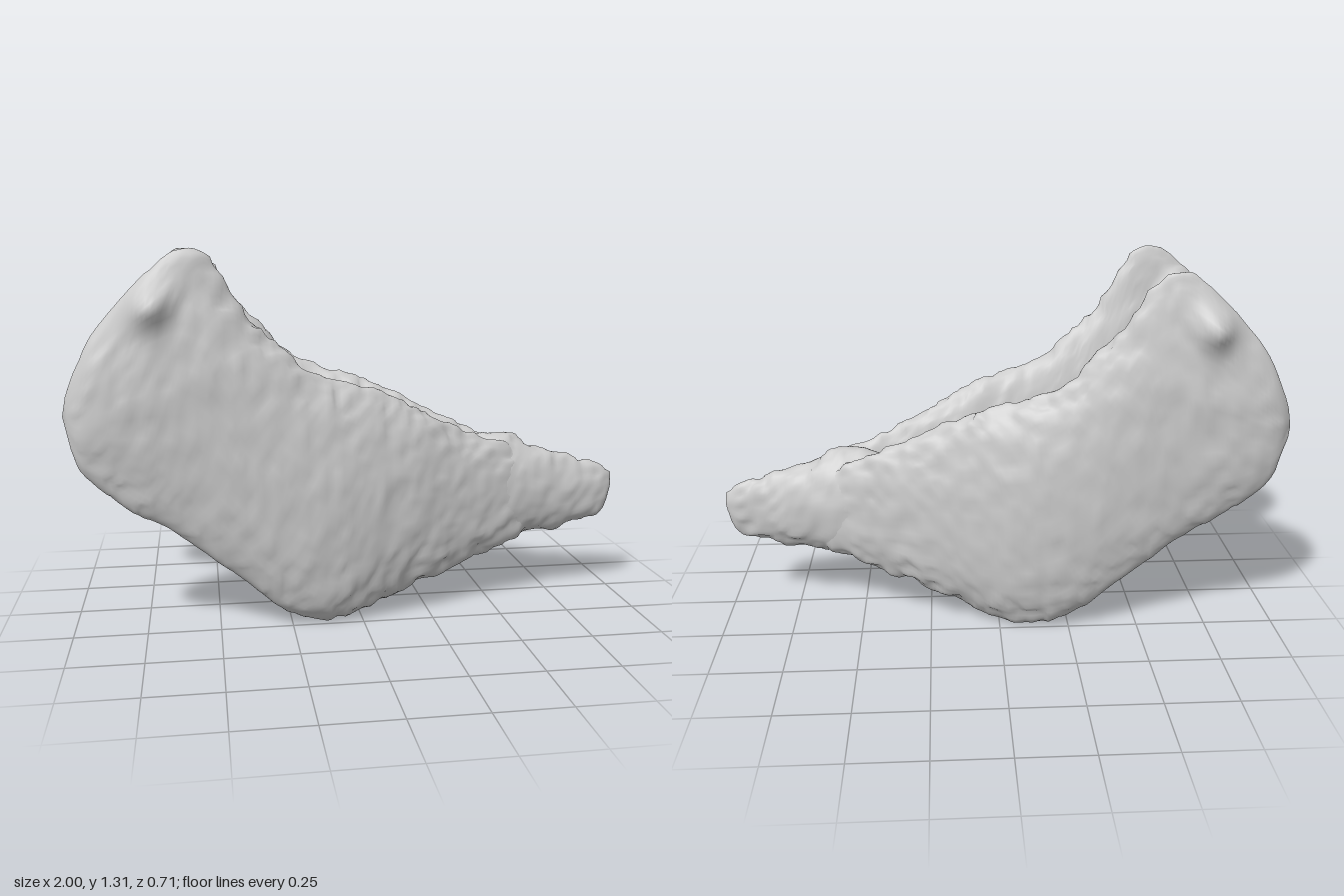
import * as THREE from 'three';

const material = new THREE.MeshStandardMaterial({ color: 0xcccccc });

// Seeded value noise in -1..1 that roughens the bone surface
function hash(i, j, k) {
  const s = Math.sin(i * 127.1 + j * 311.7 + k * 74.7) * 43758.5453;
  return (s - Math.floor(s)) * 2 - 1;
}
function noise(x, y, z) {
  const [i, j, k] = [x, y, z].map(Math.floor);
  const [u, v, w] = [x - i, y - j, z - k].map((t) => t * t * (3 - 2 * t));
  const mix = THREE.MathUtils.lerp;
  const row = (b, c) => mix(hash(i, j + b, k + c), hash(i + 1, j + b, k + c), u);
  return mix(mix(row(0, 0), row(1, 0), v), mix(row(0, 1), row(1, 1), v), w);
}
const bump = (x, y, z) => 0.6 * noise(15 * x, 15 * y, 15 * z) + 0.6 * noise(33 * x, 33 * y, 33 * z);

// Stations along x: [x, bottom, top, centre z, half thickness]
const JAW_HALF = [
  [-0.985, 0.7, 0.83, 0.26, 0.015],
  [-0.95, 0.59, 0.92, 0.262, 0.042],
  [-0.9, 0.53, 1.02, 0.262, 0.055],
  [-0.8, 0.45, 1.14, 0.258, 0.065],
  [-0.7, 0.39, 1.24, 0.255, 0.07],
  [-0.6, 0.32, 1.305, 0.25, 0.074],
  [-0.5, 0.24, 1.25, 0.244, 0.079],
  [-0.4, 0.16, 1.1, 0.238, 0.085],
  [-0.3, 0.07, 0.99, 0.23, 0.092],
  [-0.2, 0.02, 0.9, 0.22, 0.102],
  [-0.1, 0.005, 0.855, 0.205, 0.107],
  [0, 0.02, 0.825, 0.187, 0.106],
  [0.1, 0.06, 0.79, 0.167, 0.098],
  [0.2, 0.1, 0.75, 0.148, 0.088],
  [0.4, 0.165, 0.65, 0.105, 0.062],
  [0.55, 0.215, 0.585, 0.07, 0.05],
  [0.68, 0.28, 0.52, 0.045, 0.03],
];
const CHIN = [
  [0.36, 0.27, 0.54, 0, 0.075],
  [0.38, 0.23, 0.58, 0, 0.1],
  [0.45, 0.2, 0.605, 0, 0.122],
  [0.52, 0.2, 0.62, 0, 0.123],
  [0.6, 0.22, 0.61, 0, 0.11],
  [0.7, 0.235, 0.565, 0, 0.088],
  [0.8, 0.25, 0.53, 0, 0.065],
  [0.9, 0.28, 0.51, 0, 0.041],
  [0.96, 0.31, 0.485, 0, 0.03],
  [0.995, 0.38, 0.45, 0, 0.012],
];

// Smooth cubic interpolation between stations
function sample(stations, x) {
  let i = 0;
  while (i < stations.length - 2 && x > stations[i + 1][0]) i++;
  const p = (k) => stations[Math.min(Math.max(k, 0), stations.length - 1)];
  const [a, b, c, d] = [p(i - 1), p(i), p(i + 1), p(i + 2)];
  const w = c[0] - b[0], t = (x - b[0]) / w, t2 = t * t, t3 = t2 * t;
  return b.map((_, k) => {
    if (k === 0) return x;
    const m0 = ((c[k] - a[k]) / (c[0] - a[0])) * w;
    const m1 = ((d[k] - b[k]) / (d[0] - b[0])) * w;
    return (2 * t3 - 3 * t2 + 1) * b[k] + (t3 - 2 * t2 + t) * m0 +
      (3 * t2 - 2 * t3) * c[k] + (t3 - t2) * m1;
  });
}

// Thickness change by height: thinner towards the crest, swelling at the joint knob
function thickness(h, x, y) {
  const crest = 1 - 0.35 * THREE.MathUtils.smoothstep(y, 0.85, 1.25);
  const d2 = (x + 0.71) ** 2 + (y - 1.13) ** 2;
  return h * crest + 0.105 * Math.exp(-d2 / 0.0045);
}

// Closed loft of lens-shaped sections along x; side = -1 mirrors it in z
function loft(stations, side, nx, nr) {
  const pos = [], idx = [];
  const x0 = stations[0][0], x1 = stations[stations.length - 1][0];
  for (let i = 0; i <= nx; i++) {
    const [x, lo, hi, cz, h] = sample(stations, x0 + ((x1 - x0) * i) / nx);
    for (let j = 0; j < nr; j++) {
      const a = (j / nr) * Math.PI * 2;
      // Sections are sharper above, fuller below
      const power = Math.cos(a) > 0 ? 1.95 : 2.3;
      const round = (v) => Math.sign(v) * Math.abs(v) ** (2 / power);
      const c = round(Math.cos(a)), s = round(Math.sin(a));
      const y = (lo + hi) / 2 + (c * (hi - lo)) / 2;
      const z = side * (cz + thickness(h, x, y) * s);
      const n = bump(x, y, z);
      pos.push(x + 0.012 * n * (i === 0 || i === nx ? 1 : c * c),
        Math.max(0, y + 0.016 * n * c), z + side * 0.007 * n * s);
    }
  }
  const quad = (a, b, c, d) => side > 0 ? idx.push(a, c, b, b, c, d) : idx.push(a, b, c, b, d, c);
  for (let i = 0; i < nx; i++)
    for (let j = 0; j < nr; j++) {
      const k = (j + 1) % nr;
      quad(i * nr + j, i * nr + k, (i + 1) * nr + j, (i + 1) * nr + k);
    }
  // End caps
  for (const end of [0, nx]) {
    const [x, lo, hi, cz] = sample(stations, end ? x1 : x0);
    const centre = pos.length / 3;
    pos.push(x + (end ? 0.005 : -0.012), (lo + hi) / 2, side * cz);
    for (let j = 0; j < nr; j++) {
      const a = end * nr + j, b = end * nr + ((j + 1) % nr);
      if ((end > 0) === (side > 0)) idx.push(centre, b, a);
      else idx.push(centre, a, b);
    }
  }
  // Turn the faces outwards if the enclosed volume comes out negative
  let volume = 0;
  const v = (i) => new THREE.Vector3().fromArray(pos, i * 3);
  for (let i = 0; i < idx.length; i += 3)
    volume += v(idx[i]).dot(v(idx[i + 1]).cross(v(idx[i + 2])));
  if (volume < 0) idx.reverse();
  const geo = new THREE.BufferGeometry();
  geo.setAttribute('position', new THREE.Float32BufferAttribute(pos, 3));
  geo.setIndex(idx);
  geo.computeVertexNormals();
  return geo;
}

export function createModel() {
  const group = new THREE.Group();
  group.name = 'jawbone';
  const add = (name, geo) => {
    const mesh = new THREE.Mesh(geo, material);
    mesh.name = name;
    group.add(mesh);
  };
  // Two mirrored halves, each with its joint knob
  add('frontJawHalf', loft(JAW_HALF, 1, 110, 80));
  add('backJawHalf', loft(JAW_HALF, -1, 110, 80));
  // Chin joining the halves
  add('chin', loft(CHIN, 1, 45, 48));
  return group;
}
